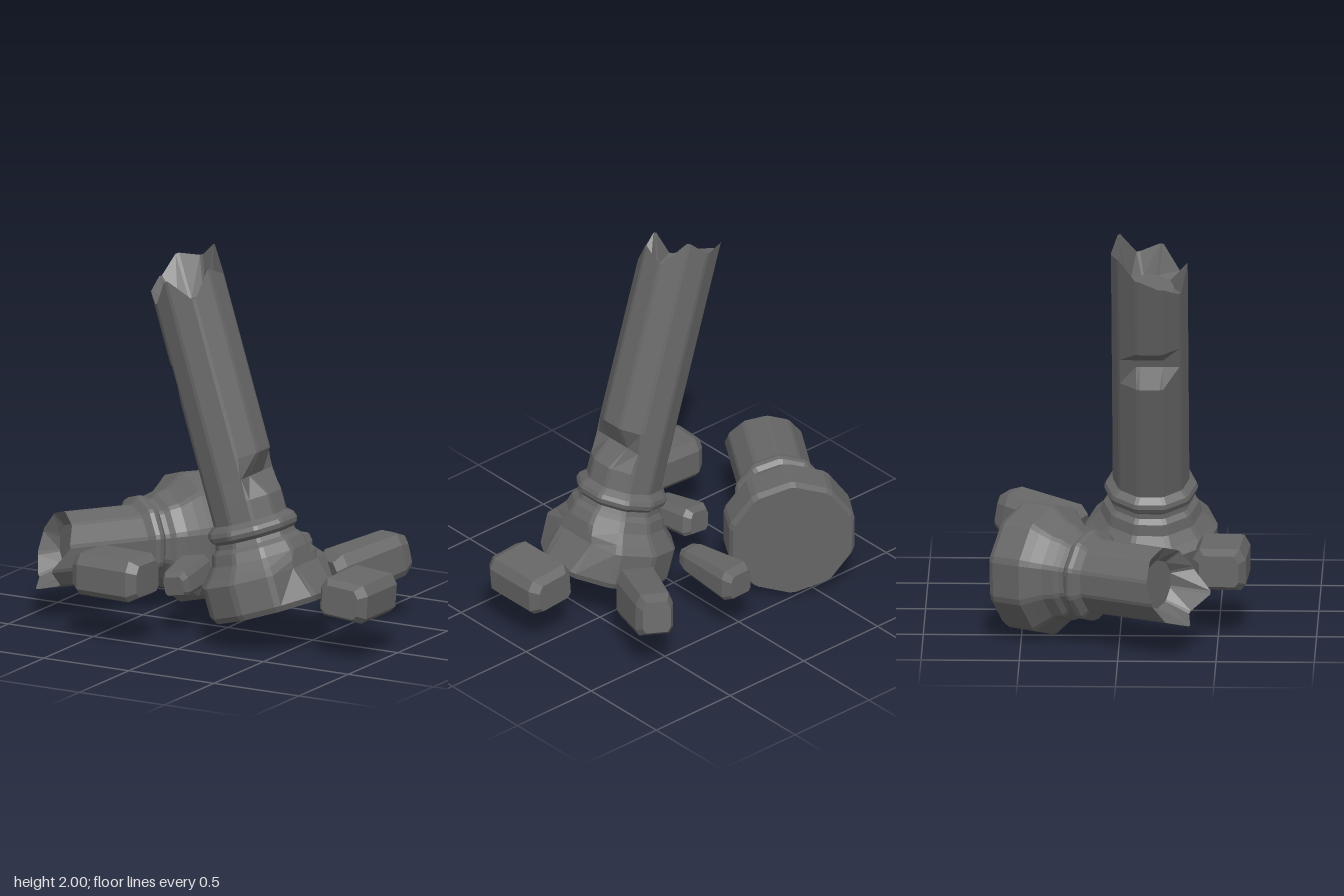
import * as THREE from 'three';
import { ConvexGeometry } from 'three/addons/geometries/ConvexGeometry.js';

const SIDES = 10;
const BEVEL = 0.05;
const material = new THREE.MeshStandardMaterial({ color: 0x666666, flatShading: true });

// moulded foot shared by both columns: [height, radius]
const foot = [[0, 0], [0, 0.318], [0.03, 0.335], [0.19, 0.337], [0.23, 0.3], [0.28, 0.258], [0.335, 0.24],
  [0.358, 0.216], [0.383, 0.21], [0.402, 0.232], [0.425, 0.238], [0.447, 0.23], [0.475, 0.195]];

// rings are [height, radius, lowest x, highest x]; the x limits cut chips out of the sides
function brokenColumn(name, rings, rim, hollow) {
  const all = [...rings, [rim, 0.195], [hollow, 0.125], [hollow, 0]];
  const count = SIDES * 2;
  const pos = [], index = [];
  all.forEach(([h, r, lo = -1, hi = 1]) => {
    for (let j = 0; j < count; j++) {
      // two points per corner give each long edge a narrow bevel
      const corner = Math.floor(j / 2);
      const a = (corner + 0.5) / SIDES * Math.PI * 2 + (j % 2 ? BEVEL : -BEVEL);
      const x = THREE.MathUtils.clamp(r * Math.cos(a), lo, hi);
      pos.push(x, Array.isArray(h) ? h[corner] : h, r * Math.sin(a));
    }
  });
  for (let i = 0; i < all.length - 1; i++) {
    for (let j = 0; j < count; j++) {
      const a = i * count + j, b = i * count + (j + 1) % count;
      index.push(a, a + count, b, b, a + count, b + count);
    }
  }
  const geo = new THREE.BufferGeometry();
  geo.setAttribute('position', new THREE.Float32BufferAttribute(pos, 3));
  geo.setIndex(index);
  geo.computeVertexNormals();
  const mesh = new THREE.Mesh(geo, material);
  mesh.name = name;
  return mesh;
}

// chamfered block, long along z; back and front are the width factors of its ends
function stone(name, [w, h, d], position, rotation, back = 1, front = 1) {
  const pts = [];
  for (const [z, k] of [[-0.5, 0.75 * back], [-0.38, back], [0.38, front], [0.5, 0.75 * front]]) {
    for (const sx of [-1, 1]) {
      for (const [x, y] of [[0.38, 0.5], [0.5, 0.25], [0.5, -0.35], [0.4, -0.5]]) {
        pts.push(new THREE.Vector3(sx * x * w * k, y * h * k, z * d));
      }
    }
  }
  const mesh = new THREE.Mesh(new ConvexGeometry(pts), material);
  mesh.name = name;
  mesh.position.set(...position);
  mesh.rotation.set(...rotation);
  return mesh;
}

export function createModel() {
  const group = new THREE.Group();
  group.name = 'columnRuins';

  // leaning column with a chipped foot and two notches in the shaft
  const leaningFoot = foot.map(([h, r]) => (h > 0.15 && h < 0.25 ? [h, r, -1, 0.25] : [h, r]));
  const leaning = brokenColumn('leaningColumn',
    [...leaningFoot, [0.58, 0.195], [0.69, 0.195, -1, 0.104], [0.8, 0.195], [1.12, 0.195],
      [1.22, 0.195, -0.125], [1.26, 0.195, -0.125], [1.33, 0.195]],
    [1.767, 1.645, 1.765, 1.657, 1.72, 1.77, 1.855, 1.82, 1.865, 1.72], 1.62);
  leaning.position.set(0.355, 0.19, 0.142);
  leaning.rotation.z = 0.302;
  group.add(leaning);

  // shorter column lying on its side
  const fallen = brokenColumn('fallenColumn', [...foot, [0.65, 0.195]],
    [1.02, 0.94, 1.01, 0.94, 0.91, 0.88, 0.86, 0.86, 0.88, 0.92], 0.82);
  const axis = new THREE.Vector3(-0.536, 0.025, 0.844).normalize();
  const side = new THREE.Vector3(0.844, 0, 0.536).normalize();
  const basis = new THREE.Matrix4().makeBasis(side, axis, side.clone().cross(axis));
  fallen.quaternion.setFromRotationMatrix(basis);
  fallen.position.set(-0.37, 0.337, -0.495);
  group.add(fallen);

  // scattered rubble
  group.add(
    stone('frontStone', [0.27, 0.215, 0.39], [-0.36, 0.357, 0.515], [0, Math.PI / 2 - 0.06, 0]),
    stone('backStone', [0.18, 0.17, 0.4], [0.085, 0.31, -0.405], [0, 0.04, 0], 1, 0.72),
    stone('backLeftStone', [0.23, 0.26, 0.45], [0.565, 0.318, -0.425], [0.22, -0.45, 0.15], 0.85, 0.95),
    stone('leftStone', [0.275, 0.2, 0.385], [0.85, 0.322, 0.14], [0, 0, -0.08]),
    stone('middleStone', [0.17, 0.15, 0.31], [-0.157, 0.285, 0.15], [0.1, 0.1, 0.15], 1, 0.85),
  );
  return group;
}
